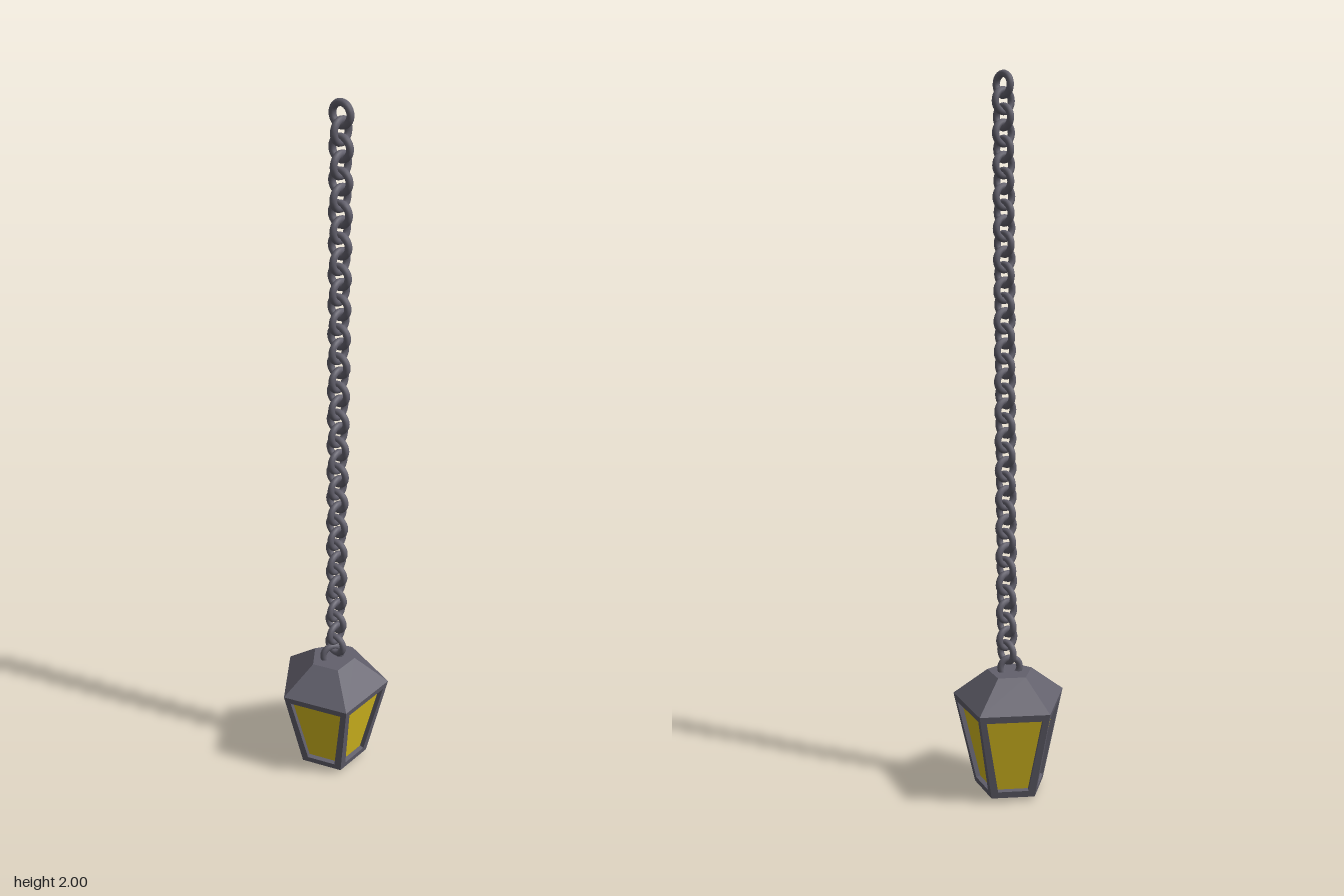
import * as THREE from 'three';

export function createModel() {
  const model = new THREE.Group();
  const metal = new THREE.MeshStandardMaterial({ color: 0x62606c, flatShading: true });
  const chainMetal = new THREE.MeshStandardMaterial({ color: 0x62606c });
  const glass = new THREE.MeshStandardMaterial({ color: 0xd8bc20, side: THREE.DoubleSide });

  const add = (parent, name, geometry, material) => {
    const mesh = new THREE.Mesh(geometry, material);
    mesh.name = name;
    parent.add(mesh);
    return mesh;
  };

  // Five-sided lantern, slightly forward of the centre
  const lantern = new THREE.Group();
  lantern.name = 'lantern';
  lantern.position.z = 0.016;
  model.add(lantern);

  const yBottom = 0.013, yEave = 0.28, yTop = 0.36;
  const rBottom = 0.104, rEave = 0.166, rTop = 0.066;
  const pentagon = (top, bottom, h) => new THREE.CylinderGeometry(top, bottom, h, 5, 1, false, Math.PI);

  add(lantern, 'roof', pentagon(rTop, rEave, yTop - yEave), metal).position.y = (yTop + yEave) / 2;
  add(lantern, 'floor', pentagon(rBottom + 0.002, rBottom, 0.012), metal).position.y = yBottom + 0.006;
  const knob = add(lantern, 'bottomKnob', new THREE.SphereGeometry(0.02, 16, 10), chainMetal);
  knob.position.y = 0.02;

  // Side panels: a leaning trapezoid frame with a recessed pane
  const half = Math.PI / 5;
  const apBottom = rBottom * Math.cos(half), apEave = rEave * Math.cos(half);
  const slant = Math.hypot(apEave - apBottom, yEave - yBottom);
  const tilt = Math.atan2(apEave - apBottom, yEave - yBottom);
  const trapezoid = (w0, w1, y0, y1) => [[-w0, y0], [w0, y0], [w1, y1], [-w1, y1]]
    .map(([x, y]) => new THREE.Vector2(x, y));
  const depth = 0.014;

  const frameShape = new THREE.Shape(
    trapezoid(rBottom * Math.sin(half), rEave * Math.sin(half), 0, slant));
  frameShape.holes.push(new THREE.Path(trapezoid(0.043, 0.078, 0.02, 0.251).reverse()));
  const frameGeometry = new THREE.ExtrudeGeometry(frameShape, { depth, bevelEnabled: false });
  frameGeometry.translate(0, 0, -depth);
  const paneGeometry = new THREE.ShapeGeometry(
    new THREE.Shape(trapezoid(0.046, 0.081, 0.017, 0.254)));
  paneGeometry.translate(0, 0, -depth + 0.001);

  for (let i = 0; i < 5; i++) {
    const side = new THREE.Group();
    side.name = 'sidePanel';
    side.rotation.y = i * 2 * half;
    const leaning = new THREE.Group();
    leaning.position.set(0, yBottom, apBottom);
    leaning.rotation.x = tilt;
    side.add(leaning);
    add(leaning, 'windowFrame', frameGeometry, metal);
    add(leaning, 'windowPane', paneGeometry, glass);
    lantern.add(side);
  }

  // Chain of alternating round links, leaning slightly forward
  const chain = new THREE.Group();
  chain.name = 'chain';
  model.add(chain);
  const linkGeometry = new THREE.TorusGeometry(0.0275, 0.0095, 10, 24);
  const count = 40;
  for (let i = 0; i < count; i++) {
    const t = i / (count - 1);
    const link = add(chain, 'chainLink', linkGeometry, chainMetal);
    link.position.set(0, 0.372 + t * 1.591, 0.029 + t * 0.012);
    link.rotation.y = i % 2 ? Math.PI / 2 : 0;
    // The lowest link sits turned on the roof
    if (i === 0) {
      link.position.z = 0.016;
      link.rotation.y = -Math.PI / 6;
    }
  }
  return model;
}
